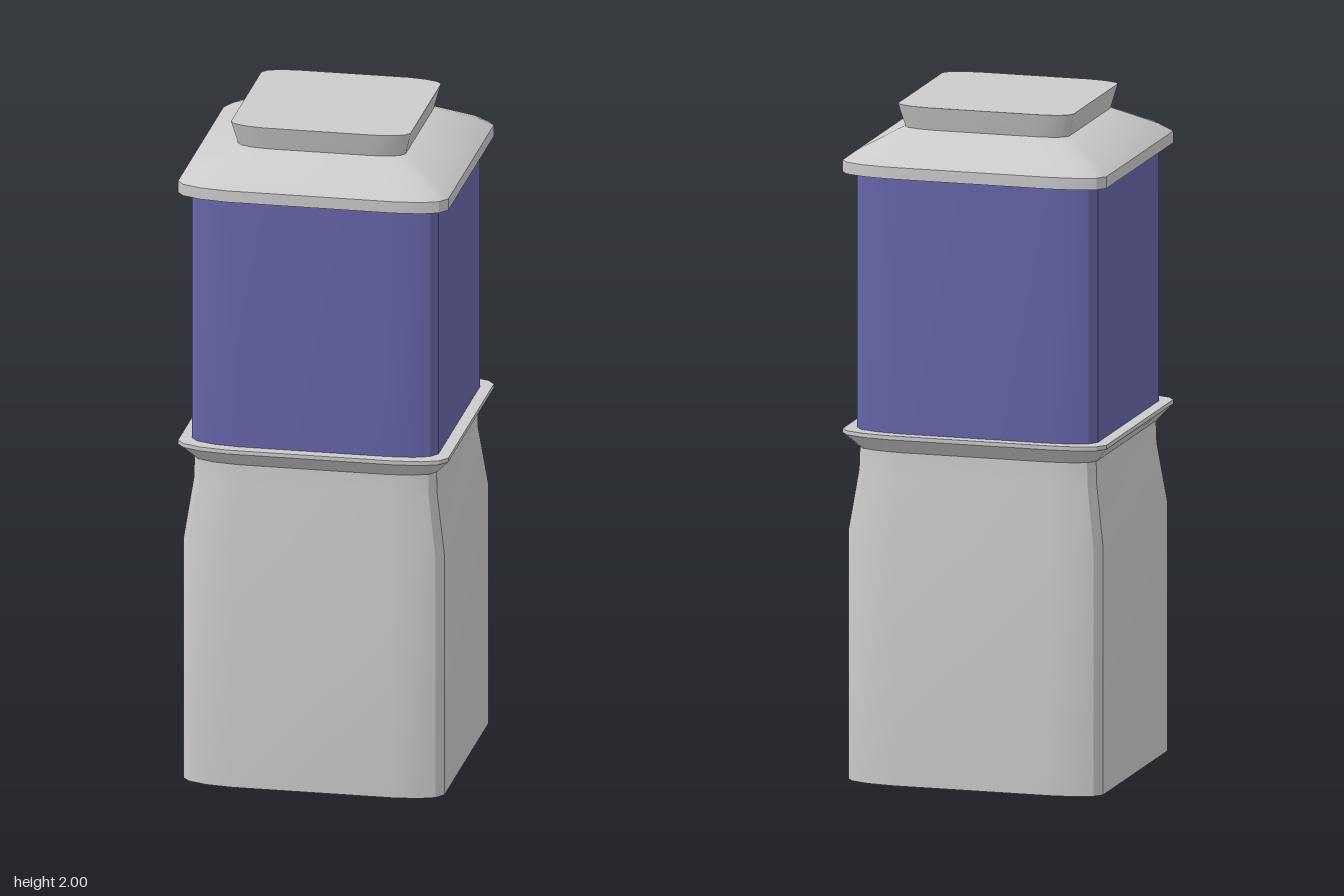
import * as THREE from 'three';
import { toCreasedNormals } from 'three/addons/utils/BufferGeometryUtils.js';

// Half of the turned, rounded-square outline [x, z]; the other half is its point reflection
const HALF = [
  [-0.48, -0.2], [-0.468, -0.235], [-0.425, -0.268], [-0.35, -0.3],
  [0.12, -0.445], [0.2, -0.459], [0.26, -0.455], [0.288, -0.435],
];
const OUTLINE = [...HALF, ...HALF.map(([x, z]) => [-x, -z])];

// Stacks scaled copies of the outline; profile rows are [scale, y], closed at both ends
function loft(profile) {
  const rows = [[0, profile[0][1]], ...profile, [0, profile[profile.length - 1][1]]];
  const pos = [];
  const at = (row, i) => {
    const [x, z] = OUTLINE[i % OUTLINE.length];
    return [x * row[0], row[1], z * row[0]];
  };
  for (let r = 0; r < rows.length - 1; r++) {
    const lo = rows[r], hi = rows[r + 1];
    for (let i = 0; i < OUTLINE.length; i++) {
      if (lo[0] > 0) pos.push(...at(lo, i), ...at(hi, i), ...at(lo, i + 1));
      if (hi[0] > 0) pos.push(...at(lo, i + 1), ...at(hi, i), ...at(hi, i + 1));
    }
  }
  const geometry = new THREE.BufferGeometry();
  geometry.setAttribute('position', new THREE.Float32BufferAttribute(pos, 3));
  return toCreasedNormals(geometry, 0.5);
}

export function createModel() {
  const group = new THREE.Group();
  const grey = new THREE.MeshStandardMaterial({ color: 0xcccccc });
  const blue = new THREE.MeshStandardMaterial({ color: 0x6666aa });

  const add = (name, material, profile) => {
    const mesh = new THREE.Mesh(loft(profile), material);
    mesh.name = name;
    group.add(mesh);
  };

  // Base, narrowing to a neck
  add('base', grey, [[0.965, 0], [0.965, 0.74], [0.9, 0.92], [0.895, 0.99]]);
  // Flared collar under the coloured section
  add('collar', grey, [[0.9, 0.988], [1, 1.033], [1, 1.045]]);
  // Coloured middle section
  add('middleSection', blue, [[0.912, 1.045], [0.912, 1.81]]);
  // Sloped cap with a short upright rim
  add('cap', grey, [[1, 1.81], [1, 1.845], [0.91, 1.872], [0.63, 1.93]]);
  // Top knob, widening upward
  add('topKnob', grey, [[0.62, 1.93], [0.665, 2]]);

  return group;
}
